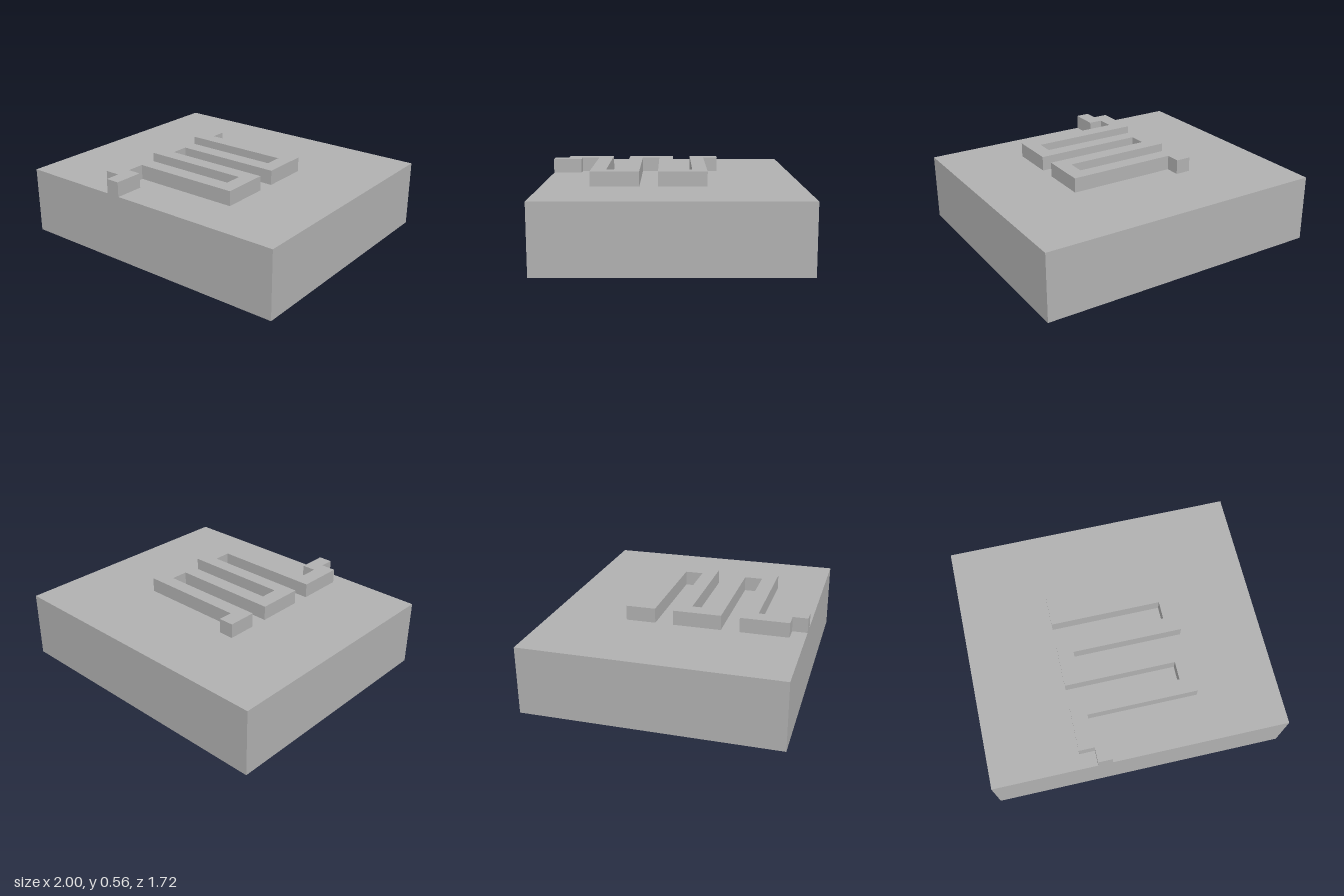
import * as THREE from 'three';

export function createModel() {
  const group = new THREE.Group();
  const grey = new THREE.MeshStandardMaterial({ color: 0xb0b0b0 });
  grey.name = 'grey';

  // Solid rectangular slab
  const baseHeight = 0.46, depth = 1.715;
  const base = new THREE.Mesh(new THREE.BoxGeometry(2, baseHeight, depth), grey);
  base.name = 'baseSlab';
  base.position.y = baseHeight / 2;
  group.add(base);

  // Raised serpentine channel, outlined as [x, z] seen from above
  const left = -0.4, inLeft = -0.295, inRight = 0.35, right = 0.45, pitch = 0.445;
  const rightEdge = [[inLeft, -0.335]];
  const leftEdge = [[left, -0.335]];
  for (let i = 0; i < 2; i++) {
    const z = i * pitch;
    rightEdge.push([inLeft, z - 0.233], [right, z - 0.233], [right, z + 0.09], [inLeft, z + 0.09]);
    leftEdge.push([left, z - 0.135], [inRight, z - 0.135], [inRight, z - 0.012], [left, z - 0.012]);
  }
  // Short step that runs out at the front edge
  rightEdge.push([inLeft, 0.657], [-0.198, 0.657], [-0.198, depth / 2]);
  leftEdge.push([left, 0.757], [inLeft, 0.757], [inLeft, depth / 2]);

  const outline = [...leftEdge, ...rightEdge.reverse()];
  const shape = new THREE.Shape(outline.map(([x, z]) => new THREE.Vector2(x, -z)));
  const geometry = new THREE.ExtrudeGeometry(shape, { depth: 0.1, bevelEnabled: false });
  geometry.rotateX(-Math.PI / 2);
  const channel = new THREE.Mesh(geometry, grey);
  channel.name = 'serpentineChannel';
  channel.position.y = baseHeight;
  group.add(channel);

  return group;
}
